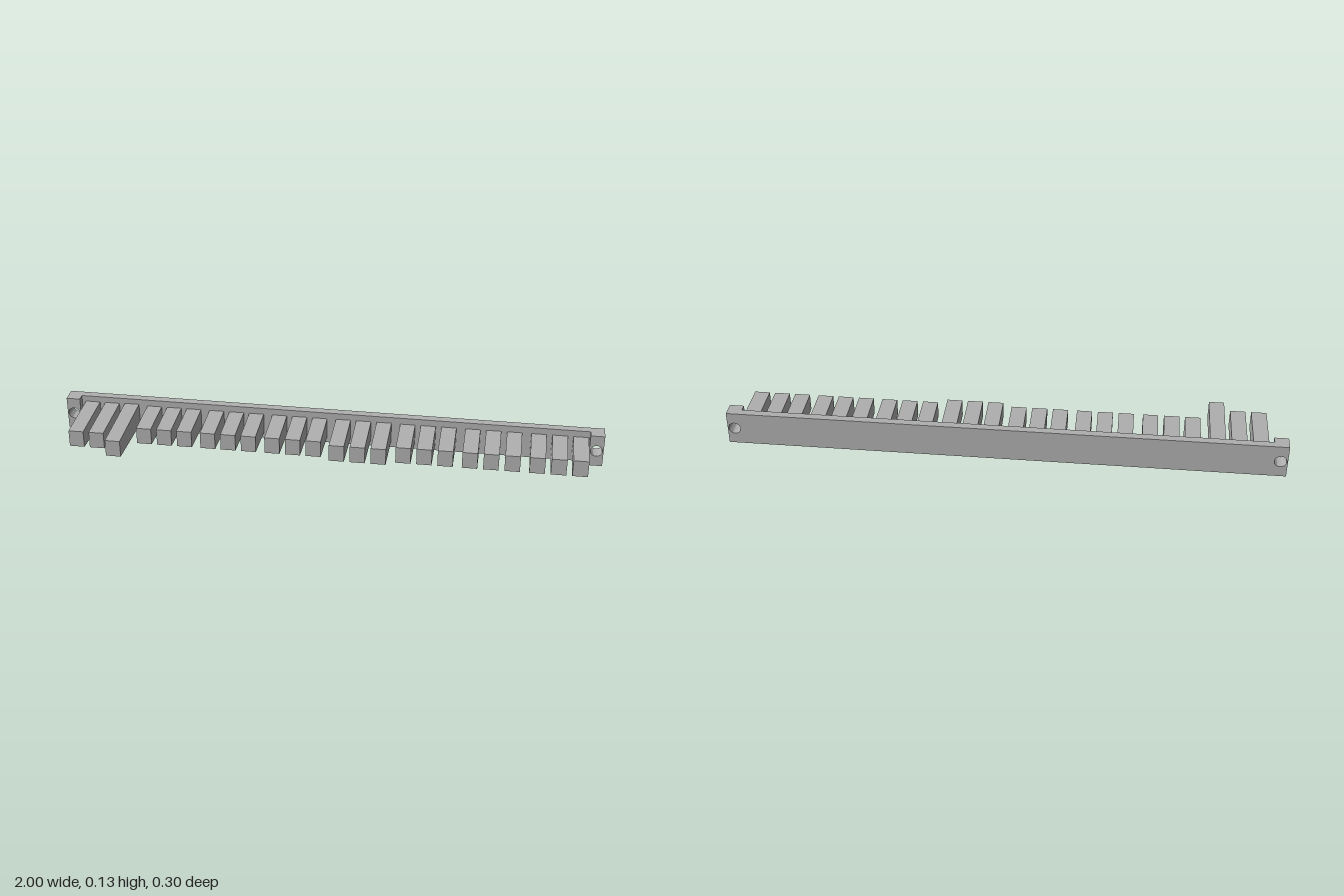
import * as THREE from 'three';
import { toCreasedNormals } from 'three/addons/utils/BufferGeometryUtils.js';

const BACK = -0.149, PLATE_FRONT = -0.12, END_FRONT = -0.092;
const MID_Y = 0.063, DRAFT = 0.0375, END_X = 0.949;

// Moulding draft: the height shrinks steadily towards the front (+z).
function applyDraft(geo, backZ, backHalf) {
  const p = geo.attributes.position;
  for (let i = 0; i < p.count; i++) {
    const k = 1 - DRAFT * (p.getZ(i) - backZ) / backHalf;
    p.setY(i, p.getY(i) * k);
  }
  return toCreasedNormals(geo, 0.5);
}

function draftedBar(width, z0, z1, backHalf) {
  const geo = new THREE.BoxGeometry(width, backHalf * 2, z1 - z0);
  geo.translate(0, 0, (z0 + z1) / 2);
  return applyDraft(geo, z0, backHalf);
}

// Thicker end lug with a round screw hole through it
function lugGeometry() {
  const w = (1 - END_X) / 2, h = MID_Y;
  const shape = new THREE.Shape([[-w, -h], [w, -h], [w, h], [-w, h]].map(([x, y]) => new THREE.Vector2(x, y)));
  const hole = new THREE.Path();
  hole.absarc(0, 0, 0.022, 0, Math.PI * 2, true);
  shape.holes.push(hole);
  const geo = new THREE.ExtrudeGeometry(shape, { depth: END_FRONT - BACK, bevelEnabled: false, curveSegments: 24 });
  geo.translate(0, 0, BACK);
  return applyDraft(geo, BACK, h);
}

export function createModel() {
  const model = new THREE.Group();
  model.name = 'toothedRail';
  const grey = new THREE.MeshStandardMaterial({ color: 0xb0b0b0 });
  grey.name = 'grey';

  const add = (name, geo, x) => {
    const mesh = new THREE.Mesh(geo, grey);
    mesh.name = name;
    mesh.position.set(x, MID_Y, 0);
    model.add(mesh);
  };

  // Back plate and end lugs
  add('backPlate', draftedBar(END_X * 2, BACK, PLATE_FRONT, MID_Y), 0);
  add('leftLug', lugGeometry(), (1 + END_X) / 2);
  add('rightLug', lugGeometry(), -(1 + END_X) / 2);

  // Eight groups of three teeth; the first and fifth groups reach further out
  for (let group = 0; group < 8; group++) {
    for (let i = 0; i < 3; i++) {
      let tip = 0.044;
      if (group === 0) tip = i === 2 ? 0.149 : 0.099;
      if (group === 4) tip = 0.065;
      const root = PLATE_FRONT - 0.005;
      const half = 0.0313 + DRAFT * (tip - root);
      add('tooth' + (group * 3 + i + 1), draftedBar(0.055, root, tip, half), -0.907 + group * 0.239 + i * 0.0757);
    }
  }
  return model;
}
